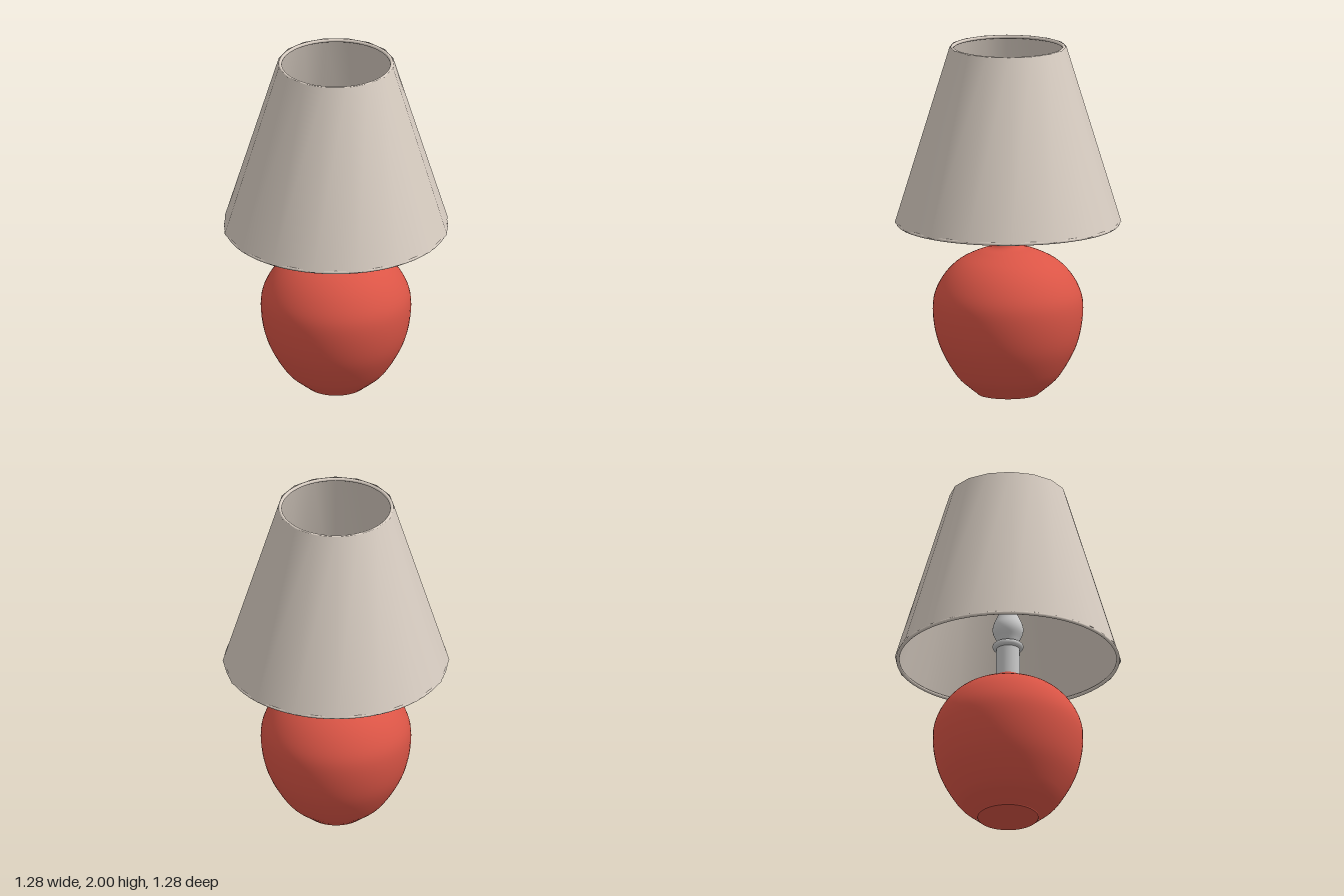
import * as THREE from 'three';

const red = new THREE.MeshStandardMaterial({ color: 0xdb5546 });
const cream = new THREE.MeshStandardMaterial({ color: 0xd8cdc2, side: THREE.DoubleSide });
const grey = new THREE.MeshStandardMaterial({ color: 0xcccccc });

// Lathe a smooth curve through [radius, height] points, closed flat at the base
function turned(points, steps, segments) {
  const curve = new THREE.SplineCurve(points.map(([r, y]) => new THREE.Vector2(r, y)));
  return new THREE.LatheGeometry(curve.getPoints(steps), segments);
}

export function createModel() {
  const lamp = new THREE.Group();
  lamp.name = 'tableLamp';

  function add(name, geometry, material, x = 0, y = 0, parent = lamp) {
    const mesh = new THREE.Mesh(geometry, material);
    mesh.name = name;
    mesh.position.set(x, y, 0);
    parent.add(mesh);
    return mesh;
  }

  // Rounded ceramic body with a flat foot
  add('body', turned([
    [0.175, 0.005], [0.22, 0.04], [0.29, 0.106], [0.37, 0.24], [0.41, 0.36], [0.425, 0.49],
    [0.41, 0.59], [0.355, 0.69], [0.275, 0.767], [0.17, 0.82], [0.105, 0.84], [0.08, 0.855], [0.07, 0.875],
  ], 48, 64), red);
  add('foot', new THREE.CylinderGeometry(0.177, 0.172, 0.01, 64), red, 0, 0.005);

  // Socket, collar and pointed bulb
  add('socket', new THREE.CylinderGeometry(0.066, 0.068, 0.23, 32), grey, 0, 0.955);
  add('collar', new THREE.TorusGeometry(0.07, 0.018, 12, 40), grey, 0, 1.06).rotation.x = Math.PI / 2;
  add('bulb', turned([
    [0.05, 1.06], [0.065, 1.1], [0.085, 1.145], [0.085, 1.185], [0.067, 1.23],
    [0.044, 1.28], [0.025, 1.33], [0.001, 1.38],
  ], 28, 32), grey);

  // Turn switch on the socket's left side
  const turnSwitch = new THREE.Group();
  turnSwitch.name = 'switch';
  turnSwitch.position.y = 0.94;
  lamp.add(turnSwitch);
  const stem = add('switchStem', new THREE.CylinderGeometry(0.022, 0.013, 0.095, 20), grey, 0.1, 0, turnSwitch);
  const knob = add('switchKnob', new THREE.CylinderGeometry(0.033, 0.033, 0.031, 24), red, 0.16, 0, turnSwitch);
  stem.rotation.z = knob.rotation.z = Math.PI / 2;

  // Sixteen-sided shade with round wire rims
  add('shade', new THREE.CylinderGeometry(0.33, 0.64, 1.012, 16, 1, true), cream, 0, 1.492);
  for (const [name, radius, y] of [['topRim', 0.316, 1.99], ['bottomRim', 0.622, 0.985]]) {
    add(name, new THREE.TorusGeometry(radius, 0.01, 10, 64), cream, 0, y).rotation.x = Math.PI / 2;
  }

  return lamp;
}
